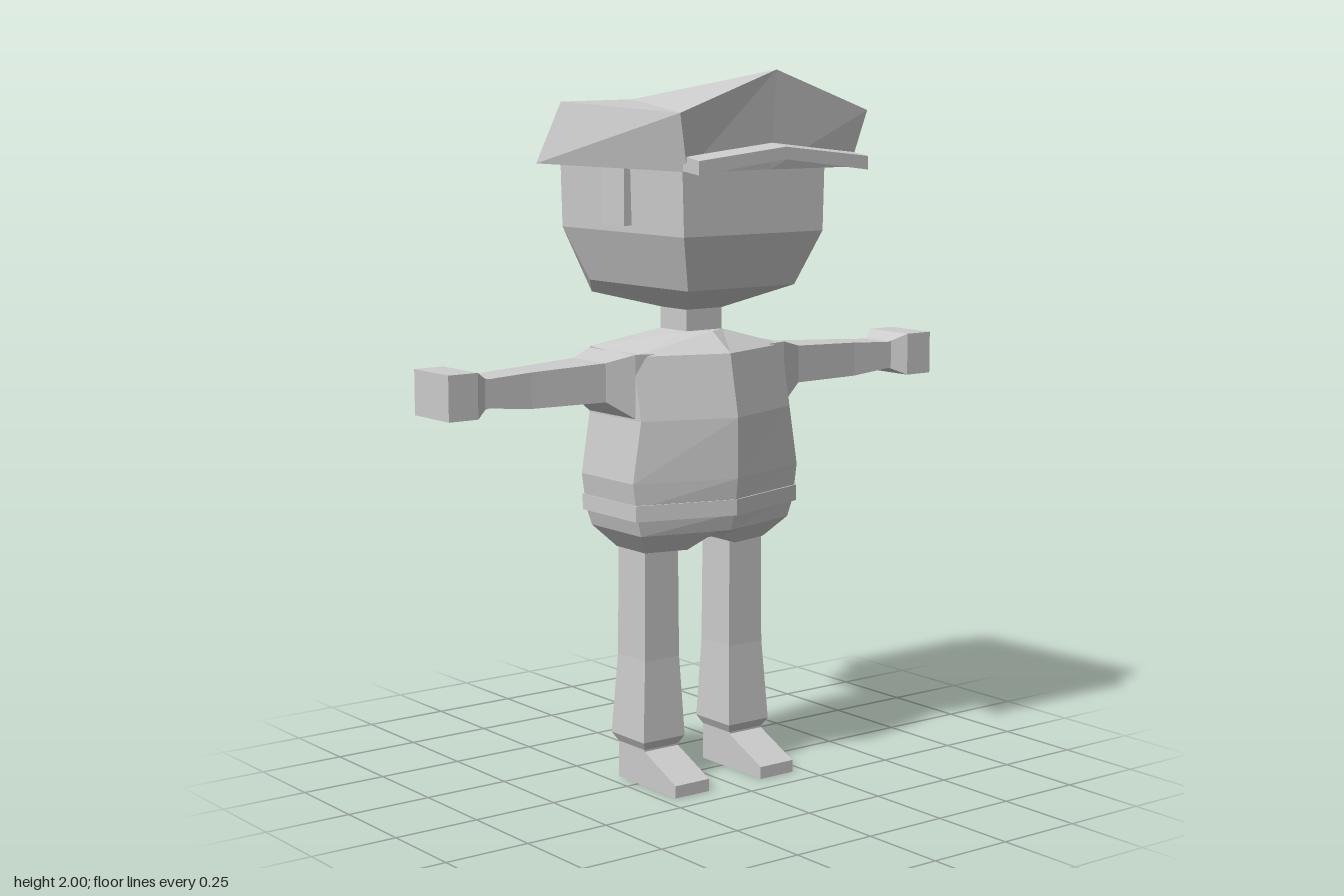
import * as THREE from 'three';

const mat = new THREE.MeshStandardMaterial({ color: 0xcccccc, flatShading: true });

// Skin a stack of matching cross-sections and close both ends with strips.
function loft(rings) {
  const pos = [];
  const n = rings[0].length;
  const quad = (a, b, c, d) => pos.push(...a, ...b, ...c, ...a, ...c, ...d);
  for (let r = 0; r < rings.length - 1; r++) {
    const lo = rings[r], hi = rings[r + 1];
    for (let i = 0; i < n; i++) {
      const j = (i + 1) % n;
      quad(lo[i], lo[j], hi[j], hi[i]);
    }
  }
  const first = rings[0], last = rings[rings.length - 1];
  for (let i = 0; i < n / 2 - 1; i++) {
    const j = n - 1 - i;
    quad(last[i], last[i + 1], last[j - 1], last[j]);
    quad(first[j], first[j - 1], first[i + 1], first[i]);
  }
  const g = new THREE.BufferGeometry();
  g.setAttribute('position', new THREE.Float32BufferAttribute(pos, 3));
  g.computeVertexNormals();
  return g;
}

// Mirror cross-sections across x = 0, keeping faces outward.
const mirror = (rings) => rings.map((r) => r.map(([x, y, z]) => [-x, y, z]).reverse());

// Rectangle at height y.
const rect = (y, x0, x1, z0, z1) => [[x0, y, z1], [x1, y, z1], [x1, y, z0], [x0, y, z0]];

// Six-sided section: middle front, side front, side back, middle back.
const hex = (y, w, zf, zs, zb, zB, yBack = y) => [
  [-w, y, zs], [0, y, zf], [w, y, zs], [w, yBack, zb], [0, yBack, zB], [-w, yBack, zb],
];

// Hip section with extra points so the crotch can arch.
function hipSection(y, w, zf, zs, zb, zB, yCrotch) {
  const xs = [-w, -0.085, -0.04, 0.04, 0.085, w];
  const at = (x, mid, side) => [
    x, Math.abs(x) < 0.05 ? yCrotch : y, THREE.MathUtils.lerp(mid, side, Math.abs(x) / w),
  ];
  return [...xs.map((x) => at(x, zf, zs)), ...xs.map((x) => at(-x, zB, zb))];
}

export function createModel() {
  const model = new THREE.Group();
  const add = (name, geometry) => {
    const mesh = new THREE.Mesh(geometry, mat);
    mesh.name = name;
    model.add(mesh);
  };
  const addPair = (name, rings) => {
    add(name + 'Left', loft(rings));
    add(name + 'Right', loft(mirror(rings)));
  };

  // Body
  add('torso', loft([
    hex(0.81, 0.28, 0.175, 0.09, -0.155, -0.185),
    hex(0.88, 0.29, 0.185, 0.09, -0.155, -0.187),
    hex(1.05, 0.262, 0.185, 0.09, -0.155, -0.178),
    hex(1.225, 0.262, 0.15, 0.055, -0.15, -0.17, 1.237),
    hex(1.28, 0.065, 0.07, 0.03, -0.09, -0.1),
  ]));
  add('jacketHem', loft([
    hex(0.73, 0.26, 0.155, 0.085, -0.15, -0.185),
    hex(0.78, 0.275, 0.17, 0.09, -0.155, -0.188),
  ]));
  add('belt', loft([
    hex(0.775, 0.284, 0.18, 0.095, -0.16, -0.197),
    hex(0.82, 0.284, 0.18, 0.095, -0.16, -0.197),
  ]));
  add('hips', loft([
    hipSection(0.67, 0.21, 0.085, 0.035, -0.1, -0.11, 0.7),
    hipSection(0.73, 0.26, 0.155, 0.085, -0.15, -0.185, 0.73),
  ]));
  add('neck', loft([rect(1.26, -0.062, 0.062, -0.09, 0.03), rect(1.37, -0.062, 0.062, -0.09, 0.03)]));

  // Arms and hands, sections along x: [x, bottom, top, back, front]
  const along = (list) => list.map(([x, y0, y1, z0, z1]) => [
    [x, y1, z0], [x, y1, z1], [x, y0, z1], [x, y0, z0],
  ]);
  addPair('arm', along([
    [0.2, 1.05, 1.23, -0.155, 0.07],
    [0.262, 1.055, 1.232, -0.155, 0.065],
    [0.34, 1.105, 1.212, -0.12, 0.035],
    [0.57, 1.105, 1.203, -0.093, 0.018],
    [0.71, 1.118, 1.195, -0.092, 0.016],
  ]));
  addPair('hand', along([
    [0.7, 1.118, 1.195, -0.092, 0.016],
    [0.715, 1.115, 1.198, -0.092, 0.016],
    [0.755, 1.096, 1.219, -0.125, 0.045],
    [0.845, 1.096, 1.219, -0.125, 0.045],
  ]));

  // Legs
  addPair('leg', [
    rect(0.09, 0.093, 0.21, -0.095, 0.03),
    rect(0.105, 0.093, 0.21, -0.095, 0.03),
    rect(0.13, 0.08, 0.224, -0.11, 0.045),
    rect(0.36, 0.09, 0.209, -0.098, 0.032),
    rect(0.69, 0.092, 0.207, -0.095, 0.03),
  ]);

  // Wedge shoes: side profile extruded across x
  const shoe = new THREE.Shape(
    [[0.095, 0], [0.095, 0.1], [-0.03, 0.1], [-0.175, 0.035], [-0.175, 0]]
      .map(([x, y]) => new THREE.Vector2(x, y)));
  for (const [side, x] of [['Left', 0.093], ['Right', -0.21]]) {
    const g = new THREE.ExtrudeGeometry(shoe, { depth: 0.117, bevelEnabled: false });
    add('shoe' + side, g.rotateY(Math.PI / 2).translate(x, 0, 0));
  }

  // Head: side back, front, front, side back, then the back pair
  const headRing = (y, w, front, sideBack, wBack, back, yBack = y) => [
    [-w, y, sideBack], [-w, y, front], [w, y, front], [w, y, sideBack],
    [wBack, yBack, back], [-wBack, yBack, back],
  ];
  add('head', loft([
    headRing(1.34, 0.062, 0.03, -0.08, 0.06, -0.09),
    headRing(1.41, 0.185, 0.2, -0.26, 0.14, -0.315, 1.37),
    headRing(1.56, 0.24, 0.255, -0.314, 0.239, -0.315),
    headRing(1.74, 0.245, 0.255, -0.314, 0.244, -0.315),
  ]));
  addPair('ear', [rect(1.58, 0.23, 0.266, -0.085, 0.02), rect(1.745, 0.23, 0.266, -0.085, 0.02)]);

  // Peaked cap with a raised front and chevron visor
  add('cap', loft([
    hex(1.736, 0.28, 0.322, 0.322, -0.385, -0.385),
    [[-0.32, 1.89, 0.345], [0, 2, 0.345], [0.32, 1.89, 0.345],
      [0.245, 1.91, -0.31], [0, 1.914, -0.31], [-0.245, 1.91, -0.31]],
  ]));
  const visorRing = (yEnd, yMid, lift) => [
    [-0.29, yEnd, 0.385], [0, yMid, 0.385], [0.29, yEnd, 0.385],
    [0.285, yEnd + lift, 0.31], [0, yMid + lift, 0.31], [-0.285, yEnd + lift, 0.31],
  ];
  add('visor', loft([visorRing(1.73, 1.765, 0.008), visorRing(1.767, 1.798, 0.012)]));

  return model;
}
